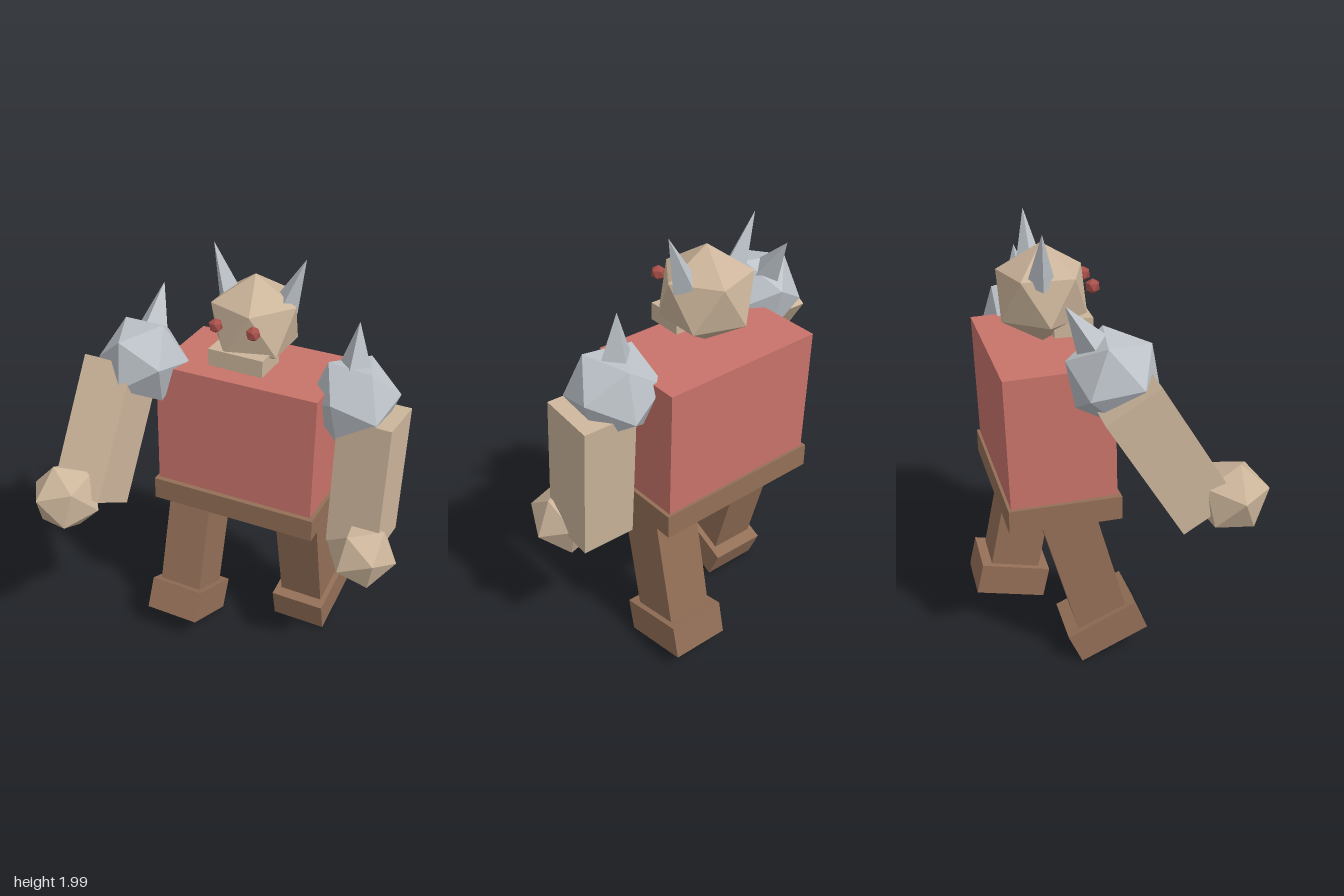
import * as THREE from 'three';

const mat = (name, color) => {
  const m = new THREE.MeshStandardMaterial({ color });
  m.name = name;
  return m;
};

export function createModel() {
  const skin = mat('skin', 0xccb59b);
  const red = mat('red tunic', 0xc8736a);
  const brown = mat('brown leather', 0x936f57);
  const steel = mat('steel', 0xbcc2c8);
  const eyeRed = mat('eye red', 0xa8504a);

  const model = new THREE.Group();
  model.name = 'brute';

  function add(parent, name, geometry, material, pos, rot = [0, 0, 0]) {
    const mesh = new THREE.Mesh(geometry, material);
    mesh.name = name;
    mesh.position.set(...pos);
    mesh.rotation.set(...rot);
    parent.add(mesh);
    return mesh;
  }
  const box = (w, h, d) => new THREE.BoxGeometry(w, h, d);

  // Twenty-sided ball standing on a corner, with an upper corner toward +x
  const ball = (r) => new THREE.IcosahedronGeometry(r, 0)
    .rotateX(-Math.atan((1 + Math.sqrt(5)) / 2)).rotateY(Math.PI / 2);

  // The same ball lying on a face
  const faceBall = (r, yaw) => new THREE.IcosahedronGeometry(r, 0)
    .applyQuaternion(new THREE.Quaternion().setFromUnitVectors(
      new THREE.Vector3(1, 1, 1).normalize(), new THREE.Vector3(0, 1, 0)))
    .rotateY(yaw);

  // Faceted four-sided spike with its base at the origin
  function spike(r, h) {
    const g = new THREE.ConeGeometry(r, h, 4).translate(0, h / 2, 0).toNonIndexed();
    g.computeVertexNormals();
    return g;
  }

  // Torso and belt, turned slightly
  add(model, 'torso', box(0.785, 0.6, 0.472), red, [0, 1.17, -0.255], [-0.025, 0.03, 0]);
  add(model, 'belt', box(0.82, 0.11, 0.503), brown, [0, 0.815, -0.245], [0, 0.03, 0]);

  // Head with jaw, eyes and horns
  const head = new THREE.Group();
  head.name = 'head';
  model.add(head);
  add(head, 'skull', ball(0.22), skin, [0, 1.69, -0.243]);
  add(head, 'jaw', box(0.265, 0.08, 0.17), skin, [0, 1.565, -0.132]);
  for (const s of [1, -1]) {
    const side = s > 0 ? 'left' : 'right';
    add(head, side + 'Eye', ball(0.034), eyeRed, [s * 0.09, 1.73, -0.04]);
    add(head, side + 'Horn', spike(0.062, 0.25), steel,
      [s * 0.133, 1.77, -0.27], [-0.03, 0, -s * 0.365]);
  }

  // Arms swing from the shoulder: ball with spike, forearm, fist
  const arms = [
    { side: 'left', s: 1, pos: [0.485, 1.41, -0.255], swing: -0.076 },
    { side: 'right', s: -1, pos: [-0.467, 1.475, -0.045], swing: -0.56 },
  ];
  for (const { side, s, pos, swing } of arms) {
    const arm = new THREE.Group();
    arm.name = side + 'Arm';
    arm.position.set(...pos);
    arm.rotation.x = swing;
    model.add(arm);
    add(arm, side + 'Shoulder', faceBall(0.208, -0.29), steel, [0, 0, 0]);
    add(arm, side + 'ShoulderSpike', spike(0.085, 0.24), steel, [-s * 0.008, 0.122, 0]);
    add(arm, side + 'Forearm', box(0.25, 0.635, 0.265), skin, [s * 0.105, -0.362, 0]);
    add(arm, side + 'Fist', faceBall(0.167, 0.3), skin, [s * 0.155, -0.695, 0.122], [1.3, 0, 0]);
  }

  // Striding legs and feet
  const legs = [
    { side: 'left', x: 0.273, hipZ: -0.26, swing: 0.205, foot: [0.272, 0.136, -0.398], tilt: 0.22 },
    { side: 'right', x: -0.265, hipZ: -0.225, swing: -0.27, foot: [-0.264, 0.151, -0.042], tilt: -0.42 },
  ];
  for (const { side, x, hipZ, swing, foot, tilt } of legs) {
    const leg = box(0.218, 0.62, 0.24).translate(0, -0.31, 0);
    add(model, side + 'Leg', leg, brown, [x, 0.8, hipZ], [swing, 0.01, 0]);
    add(model, side + 'Foot', box(0.272, 0.158, 0.342), brown, foot, [tilt, 0.01, 0]);
  }

  return model;
}
